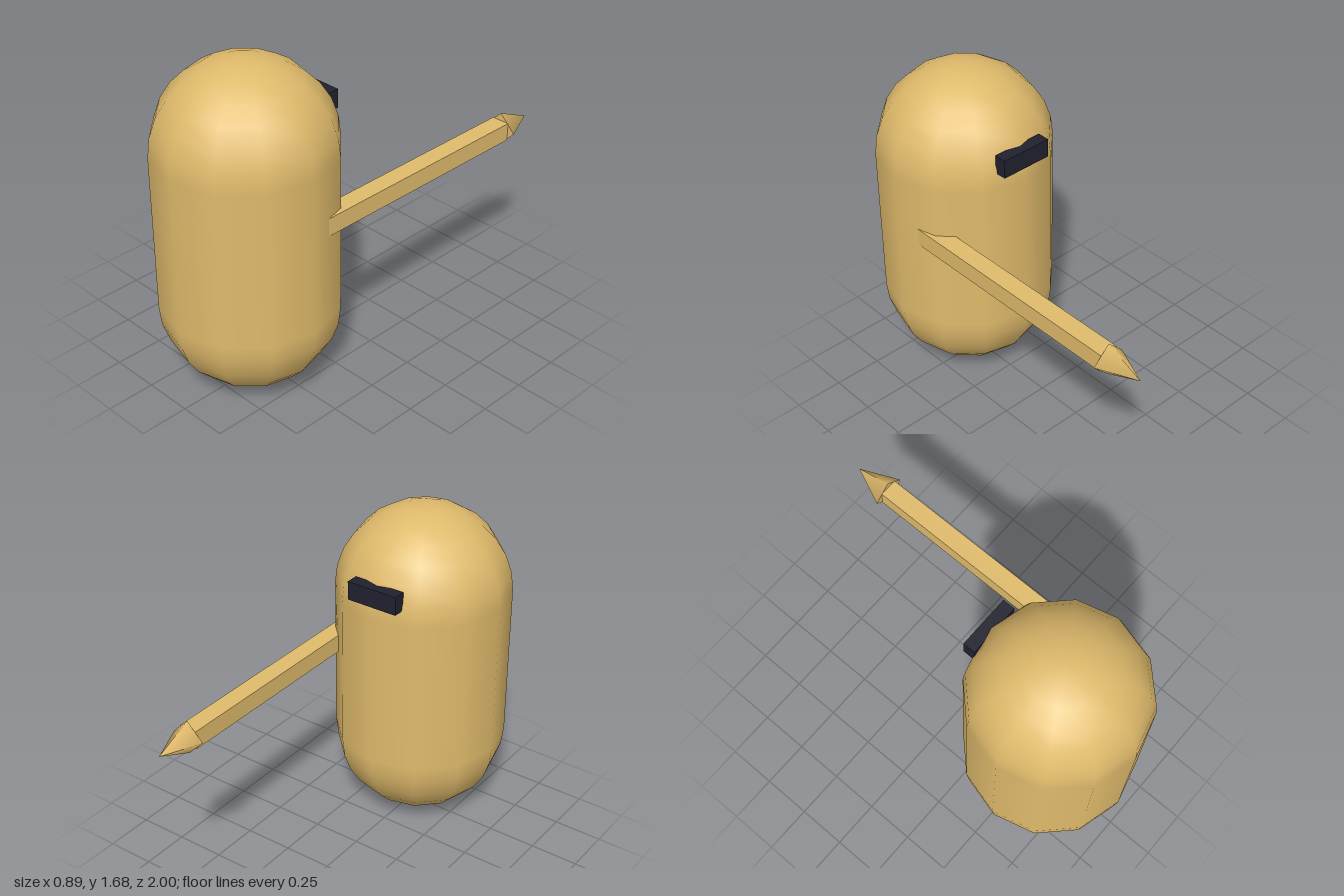
import * as THREE from 'three';

export function createModel() {
  const model = new THREE.Group();
  const tan = new THREE.MeshStandardMaterial({ name: 'tan', color: 0xdfba6b });
  const dark = new THREE.MeshStandardMaterial({ name: 'darkNavy', color: 0x20212e });

  const add = (name, geometry, material, x, y, z) => {
    const mesh = new THREE.Mesh(geometry, material);
    mesh.name = name;
    mesh.position.set(x, y, z);
    model.add(mesh);
    return mesh;
  };

  // Twelve-sided capsule body
  add('body', new THREE.CapsuleGeometry(0.44, 0.802, 7, 12), tan, -0.004, 0.841, 0.56);

  // Visor block on the face, partly sunk into the body
  add('visor', new THREE.BoxGeometry(0.274, 0.096, 0.064), dark, -0.005, 1.368, 0.145);

  // Spear: square shaft starting inside the body, four-sided smooth tip
  const spearX = 0.357, spearY = 0.942, headZ = -0.805, tailZ = 0.45;
  add('spearShaft', new THREE.BoxGeometry(0.095, 0.093, tailZ - headZ), tan,
    spearX, spearY, (tailZ + headZ) / 2);
  const head = add('spearHead', new THREE.ConeGeometry(0.087, 0.195, 4), tan,
    spearX, spearY, headZ - 0.0975);
  head.rotation.x = -Math.PI / 2;

  return model;
}
